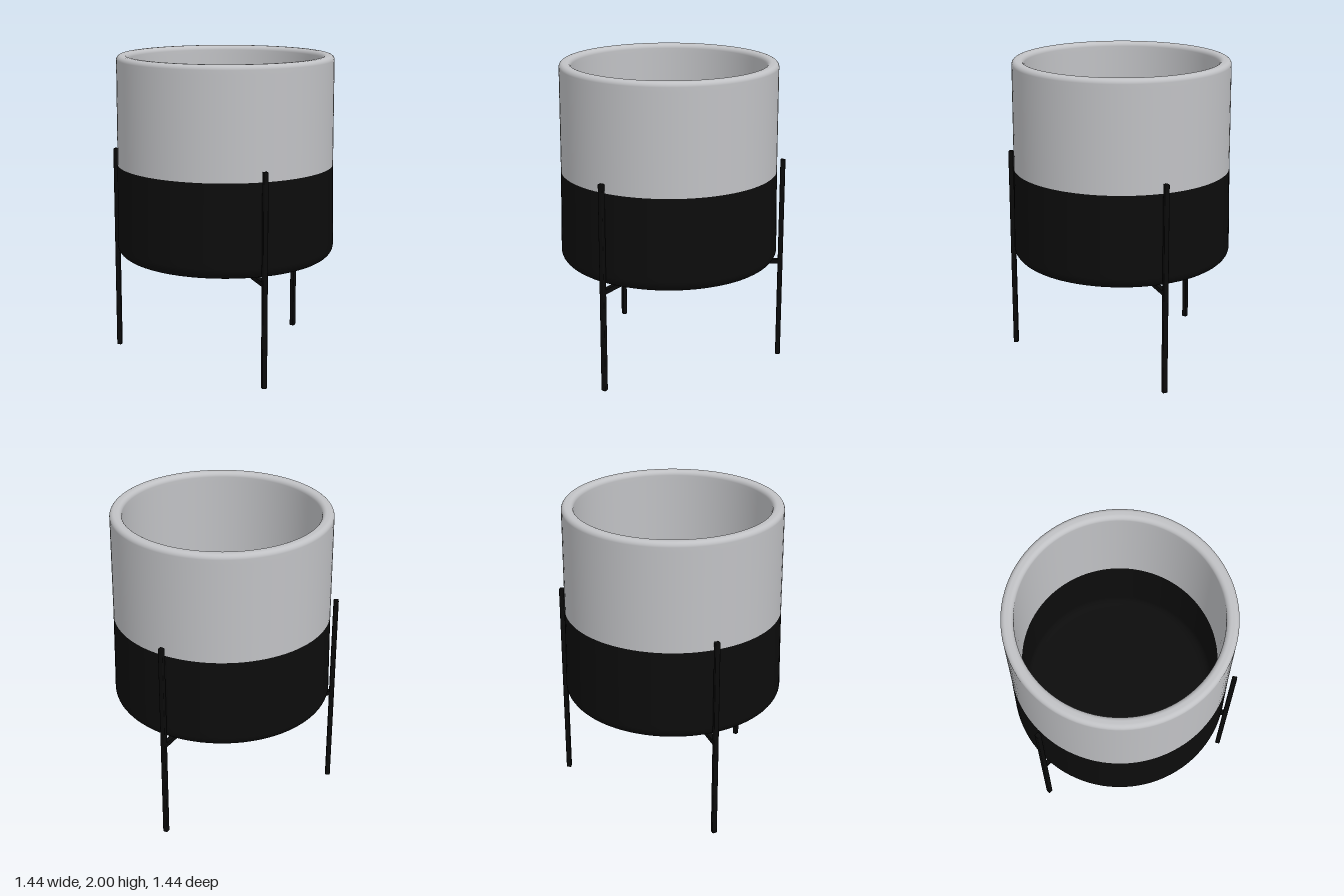
import * as THREE from 'three';
import { RoundedBoxGeometry } from 'three/addons/geometries/RoundedBoxGeometry.js';

const SEGMENTS = 96;
const CENTRE = 0.012; // axis offset that centres the three-legged footprint
const SPLIT = 1.295;  // height where the dipped colour ends

// Elliptical arc as lathe points, angles in degrees
function arc(cx, cy, rx, ry, from, to, steps = 8) {
  return Array.from({ length: steps + 1 }, (_, i) => {
    const a = THREE.MathUtils.degToRad(from + (to - from) * i / steps);
    return new THREE.Vector2(cx + rx * Math.cos(a), cy + ry * Math.sin(a));
  });
}

export function createModel() {
  const grey = new THREE.MeshStandardMaterial({ color: 0xc0c1c4 });
  grey.name = 'pale grey ceramic';
  const black = new THREE.MeshStandardMaterial({ color: 0x0c0c0c });
  black.name = 'black glaze';
  const metal = new THREE.MeshStandardMaterial({ color: 0x0a0a0a });
  metal.name = 'black metal';

  const model = new THREE.Group();
  model.name = 'planterOnStand';
  const planter = new THREE.Group();
  planter.name = 'planter';
  planter.position.set(CENTRE, 0, CENTRE);
  model.add(planter);

  const v = (x, y) => new THREE.Vector2(x, y);
  const lathe = (name, points, material, parent) => {
    const mesh = new THREE.Mesh(new THREE.LatheGeometry(points, SEGMENTS), material);
    mesh.name = name;
    parent.add(mesh);
  };

  const pot = new THREE.Group();
  pot.name = 'pot';
  planter.add(pot);

  // Dipped lower outside with rounded foot
  lathe('lowerPot', [
    v(0, 0.685), v(0.58, 0.685),
    ...arc(0.61, 0.765, 0.1, 0.08, -90, 0),
    v(0.709, 0.8), v(0.701, SPLIT),
  ], black, pot);

  // Upper wall, rounded rim and upper inside
  lathe('upperPot', [
    v(0.701, SPLIT), v(0.698, 1.94),
    ...arc(0.668, 1.97, 0.03, 0.03, 0, 90),
    ...arc(0.652, 1.97, 0.03, 0.03, 90, 180),
    v(0.622, 1.94), v(0.622, SPLIT),
  ], grey, pot);

  // Dark inside below the colour line, with the floor
  lathe('innerPot', [
    v(0.622, SPLIT), v(0.622, 0.84),
    ...arc(0.562, 0.82, 0.06, 0.06, 0, -90),
    v(0.54, 0.76), v(0, 0.76),
  ], black, pot);

  // Stand: three legs, each with a bar running to the middle
  const stand = new THREE.Group();
  stand.name = 'stand';
  planter.add(stand);
  const legRadius = 0.738;
  for (const degrees of [45, 165, 285]) {
    const arm = new THREE.Group();
    arm.name = 'legWithBar';
    arm.rotation.y = -THREE.MathUtils.degToRad(degrees);

    const leg = new THREE.Mesh(new RoundedBoxGeometry(0.032, 1.365, 0.032, 2, 0.006), metal);
    leg.name = 'leg';
    leg.position.set(legRadius, 1.365 / 2, 0);

    const bar = new THREE.Mesh(new THREE.BoxGeometry(legRadius, 0.03, 0.03), metal);
    bar.name = 'bar';
    bar.position.set(legRadius / 2, 0.667, 0);

    arm.add(leg, bar);
    stand.add(arm);
  }
  return model;
}
